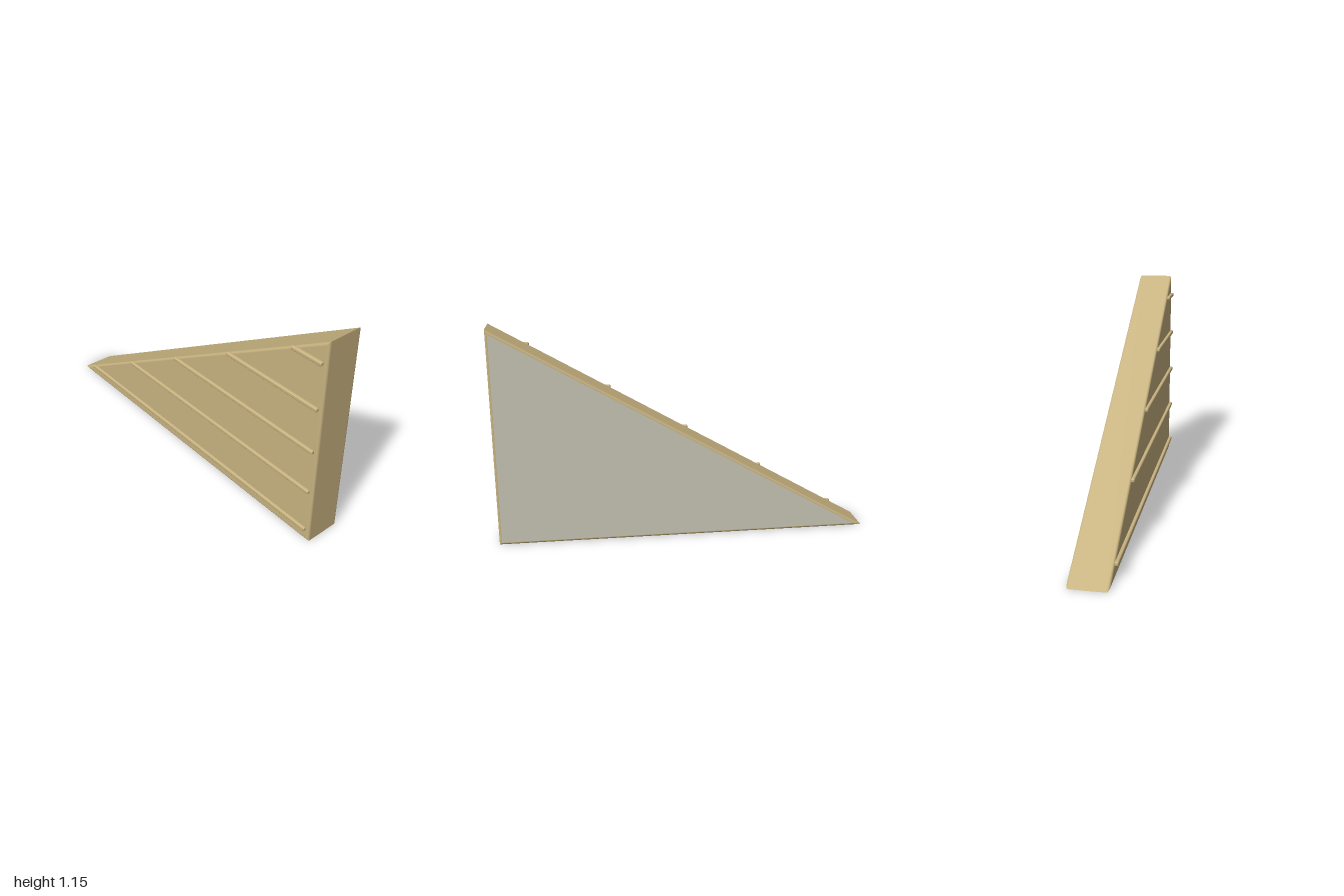
import * as THREE from 'three';
import { RoundedBoxGeometry } from 'three/addons/geometries/RoundedBoxGeometry.js';

const WIDTH = 2, HEIGHT = 1.155;
const BACK = -0.108, FRONT = 0.092, BEVEL = 0.013, STEPS = 5;
const SLOPE = HEIGHT / WIDTH;
const INRADIUS = (WIDTH + HEIGHT - Math.hypot(WIDTH, HEIGHT)) / 2;
const CENTRE = new THREE.Vector2(1 - INRADIUS, INRADIUS);
const CORNERS = [[-1, 0], [1, 0], [1, HEIGHT]].map(([x, y]) => new THREE.Vector2(x, y));

// Triangle with every edge moved inwards by d (scaled about its incentre)
function insetTriangle(d) {
  return CORNERS.map((c) => c.clone().sub(CENTRE).multiplyScalar(1 - d / INRADIUS).add(CENTRE));
}

// Rounded edge strips, one smooth strip for each side of the triangle
function rimGeometry() {
  const profile = [];
  for (const [z, start] of [[BACK + BEVEL, -Math.PI / 2], [FRONT - BEVEL, 0]]) {
    for (let i = 0; i <= STEPS; i++) {
      const a = start + (i / STEPS) * Math.PI / 2;
      profile.push({ z: z + BEVEL * Math.sin(a), d: BEVEL * (1 - Math.cos(a)), a });
    }
  }
  const pos = [], nor = [], idx = [];
  for (let s = 0; s < 3; s++) {
    const e = (s + 1) % 3;
    const dir = CORNERS[e].clone().sub(CORNERS[s]).normalize();
    const base = pos.length / 3;
    profile.forEach(({ z, d, a }, i) => {
      const tri = insetTriangle(d);
      for (const p of [tri[s], tri[e]]) {
        pos.push(p.x, p.y, z);
        nor.push(dir.y * Math.cos(a), -dir.x * Math.cos(a), Math.sin(a));
      }
      if (i) {
        const k = base + 2 * (i - 1);
        idx.push(k, k + 1, k + 3, k, k + 3, k + 2);
      }
    });
  }
  const g = new THREE.BufferGeometry();
  g.setAttribute('position', new THREE.Float32BufferAttribute(pos, 3));
  g.setAttribute('normal', new THREE.Float32BufferAttribute(nor, 3));
  g.setIndex(idx);
  return g;
}

export function createModel() {
  const group = new THREE.Group();
  const tan = new THREE.MeshStandardMaterial({ color: 0xc8b380 });
  const grey = new THREE.MeshStandardMaterial({ color: 0xccc8b9 });
  const add = (name, geometry, material) => {
    const mesh = new THREE.Mesh(geometry, material);
    mesh.name = name;
    group.add(mesh);
    return mesh;
  };

  // Wedge-shaped slab: rim, front face and grey back face
  add('rim', rimGeometry(), tan);
  const face = new THREE.ShapeGeometry(new THREE.Shape(insetTriangle(BEVEL)));
  add('frontFace', face.clone().translate(0, 0, FRONT), tan);
  const back = insetTriangle(BEVEL).map((p) => new THREE.Vector2(-p.x, p.y));
  add('backFace', new THREE.ShapeGeometry(new THREE.Shape(back)).rotateY(Math.PI).translate(0, 0, BACK), grey);

  // Horizontal battens running from the sloping edge to the upright edge
  const right = 0.98;
  for (let i = 0; i < 5; i++) {
    const y = 0.073 + i * 0.2415;
    const left = -1 + y / SLOPE;
    const batten = add(`batten${i + 1}`, new RoundedBoxGeometry(right - left, 0.022, 0.02, 3, 0.007), tan);
    batten.position.set((left + right) / 2, y, 0.1);
  }
  return group;
}
